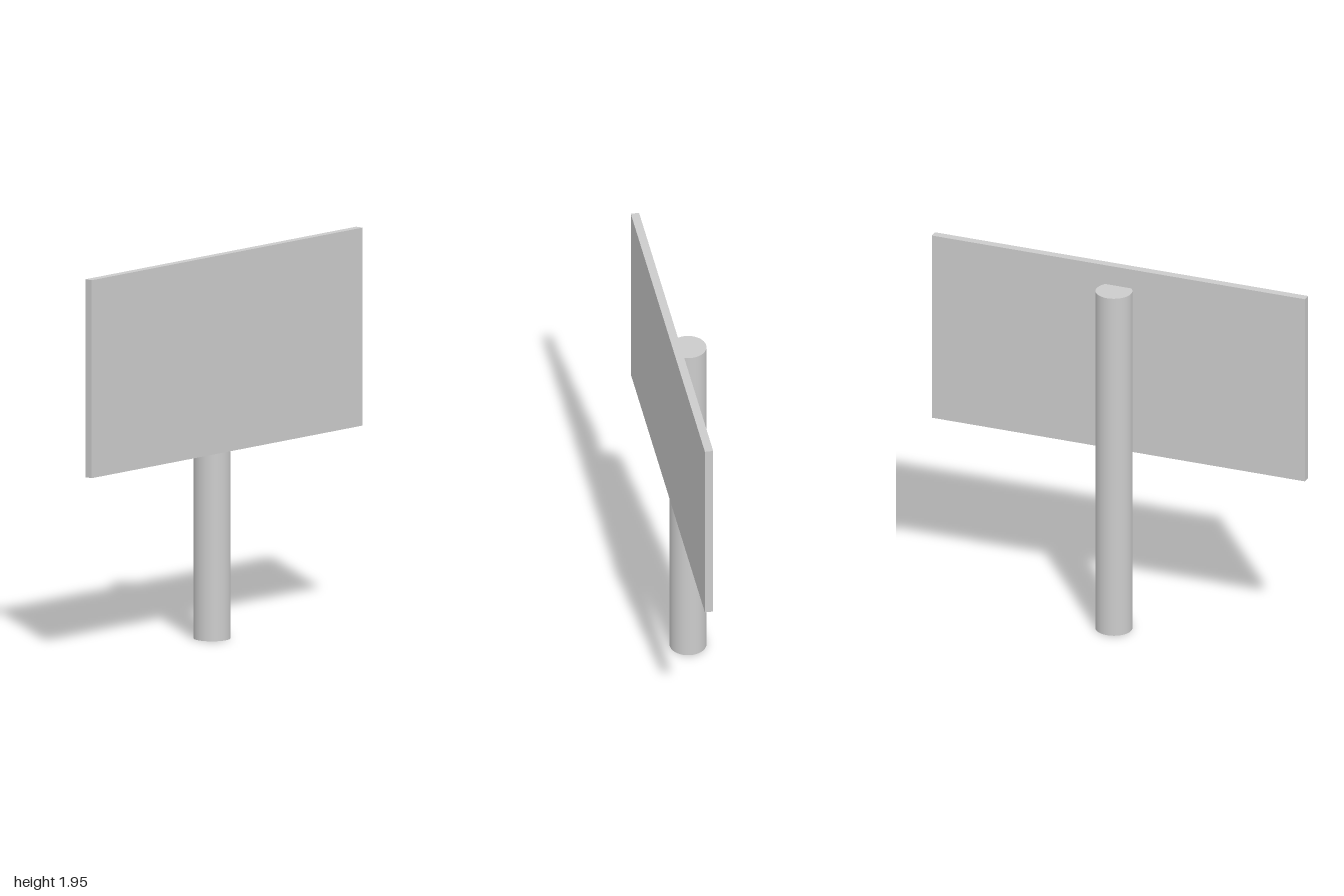
import * as THREE from 'three';

export function createModel() {
  const group = new THREE.Group();
  const material = new THREE.MeshStandardMaterial({ color: 0xcccccc });

  // Round post, standing on the ground and ending just below the panel's top
  const postHeight = 1.85;
  const post = new THREE.Mesh(new THREE.CylinderGeometry(0.092, 0.092, postHeight, 48), material);
  post.name = 'post';
  post.position.set(0, postHeight / 2, -0.005);
  group.add(post);

  // Flat sign panel, let into the front of the post
  const panel = new THREE.Mesh(new THREE.BoxGeometry(2, 1, 0.042), material);
  panel.name = 'signPanel';
  panel.position.set(0, 1.453, 0.076);
  group.add(panel);

  return group;
}
